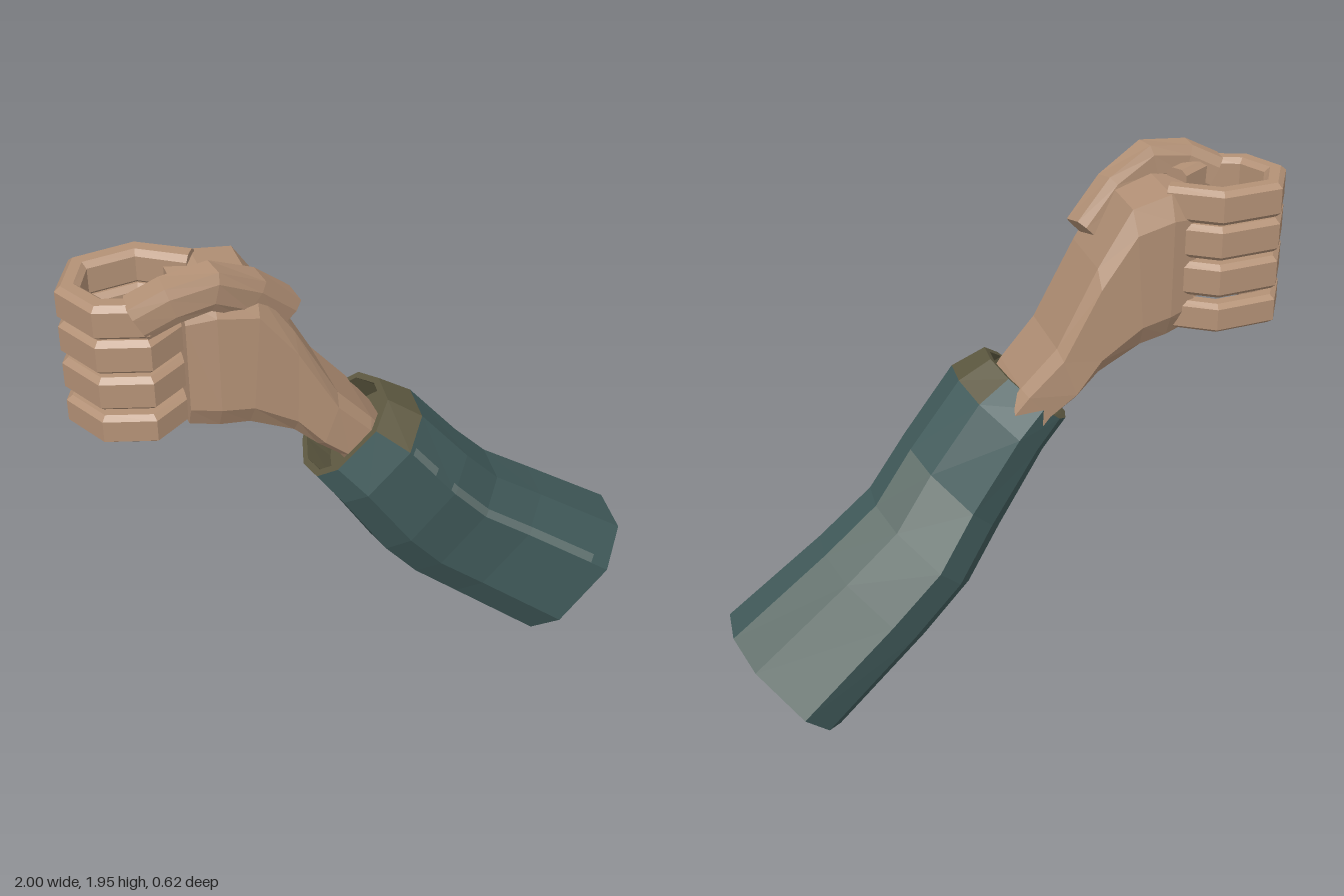
import * as THREE from 'three';

const mat = (name, color, side = THREE.FrontSide) => {
  const m = new THREE.MeshStandardMaterial({ color, flatShading: true, side });
  m.name = name;
  return m;
};
const V = (x, y, z) => new THREE.Vector3(x, y, z);

// Ten-sided sleeve outline and chamfered box outline, in (side, up) units
const SLEEVE = [[0.6, 0.93], [-0.04, 1], [-0.6, 0.75], [-1, 0], [-0.8, -0.48],
  [-0.37, -0.8], [0.15, -1], [0.7, -0.9], [1, -0.5], [1, 0.45]];
const chamfer = (a, b) => [[a, 1], [-a, 1], [-1, b], [-1, -b], [-a, -1], [a, -1], [1, -b], [1, b]];

// A section is [upperX, upperY, lowerX, lowerY, zMin, zMax]
const point = (s, [p, q]) => {
  const t = (q + 1) / 2;
  return V(s[2] + (s[0] - s[2]) * t, s[3] + (s[1] - s[3]) * t,
    (s[4] + s[5]) / 2 + p * (s[5] - s[4]) / 2);
};
const ring = (s, outline) => outline.map((o) => point(s, o));

// Skin a row of rings; pick(i, j) chooses the material of each panel
function loft(rings, { capStart = false, capEnd = false, pick = () => 0 } = {}) {
  const byMat = [];
  const add = (m, ...pts) => {
    byMat[m] = byMat[m] || [];
    pts.forEach((p) => byMat[m].push(p));
  };
  const n = rings[0].length;
  for (let i = 0; i < rings.length - 1; i++) {
    for (let j = 0; j < n; j++) {
      const k = (j + 1) % n, a = rings[i], b = rings[i + 1];
      add(pick(i, j), a[j], a[k], b[k], a[j], b[k], b[j]);
    }
  }
  const cap = (r, flip) => {
    const c = r.reduce((s, p) => s.add(p), V(0, 0, 0)).divideScalar(n);
    r.forEach((p, j) => {
      const q = r[(j + 1) % n];
      if (flip) add(0, c, q, p); else add(0, c, p, q);
    });
  };
  if (capStart) cap(rings[0], true);
  if (capEnd) cap(rings[rings.length - 1], false);
  const g = new THREE.BufferGeometry().setFromPoints(byMat.flat());
  let start = 0;
  byMat.forEach((pts, m) => {
    g.addGroup(start, pts.length, m);
    start += pts.length;
  });
  g.computeVertexNormals();
  return g;
}

// Chamfered bar along a path; "wide" is the direction of the first half size
function digit(path, wide, halfA, halfB) {
  const outline = chamfer(0.72, 0.5);
  const rings = path.map((p, i) => {
    const t = path[Math.min(i + 1, path.length - 1)].clone()
      .sub(path[Math.max(i - 1, 0)]).normalize();
    const e1 = wide.clone().addScaledVector(t, -wide.dot(t)).normalize();
    const e2 = t.clone().cross(e1);
    return outline.map(([a, b]) => p.clone().addScaledVector(e1, a * halfA).addScaledVector(e2, b * halfB));
  });
  return loft(rings, { capStart: true, capEnd: true });
}

export function createModel() {
  const model = new THREE.Group();
  const skin = mat('skin', 0xb39176);
  const teal = mat('teal cloth', 0x425c5c);
  const grey = mat('worn grey cloth', 0x5c6b66);
  const olive = mat('olive lining', 0x5e5941);
  const seam = mat('pale seam', 0x647674, THREE.DoubleSide);
  const add = (name, geometry, material, parent = model) => {
    const m = new THREE.Mesh(geometry, material);
    m.name = name;
    parent.add(m);
    return m;
  };

  // Sleeve, from the elbow end up to the cuff
  const sections = [
    [1.0, 0.41, 0.62, 0.0, -0.31, 0.23],
    [0.66, 0.67, 0.3, 0.3, -0.25, 0.23],
    [0.47, 0.82, 0.13, 0.47, -0.21, 0.25],
    [0.33, 0.99, 0.0, 0.65, -0.14, 0.29],
    [0.15, 1.22, -0.16, 0.92, -0.12, 0.31],
    [0.04, 1.29, -0.24, 1.03, -0.09, 0.26],
  ];
  const pick = (i, j) => {
    if (i === 4) return j === 9 || j < 2 ? 2 : 0;
    return i < 3 && (j === 1 || j === 2) ? 1 : 0;
  };
  add('sleeve', loft(sections.map((s) => ring(s, SLEEVE)), { pick }), [teal, grey, olive]);

  // Lining inside the open cuff
  const inner = SLEEVE.map(([p, q]) => [p * 0.88, q * 0.88]);
  add('cuffLining', loft([ring(sections[5], SLEEVE), ring(sections[5], inner), ring(sections[4], inner)],
    { capEnd: true }), olive);

  // Closed elbow end in three patches
  const end = (name, pts, material) => {
    const g = new THREE.ShapeGeometry(new THREE.Shape(pts.map(([p, q]) => new THREE.Vector2(p, q))));
    const pos = g.attributes.position;
    for (let i = 0; i < pos.count; i++) {
      const v = point(sections[0], [pos.getX(i), pos.getY(i)]);
      pos.setXYZ(i, v.x, v.y, v.z);
    }
    g.setIndex(Array.from(g.index.array).reverse());
    g.computeVertexNormals();
    add(name, g, material);
  };
  const S = SLEEVE, a = [-0.1, 0.65], b = [0.15, 0.45], c = [0.3, 0.1], d = [-0.84, 0.3];
  end('elbowEndTop', [S[0], S[1], a, b, S[9]], teal);
  end('elbowEndBand', [S[1], S[2], d, c, S[9], b, a], grey);
  end('elbowEndBottom', [S[9], c, d, ...S.slice(3, 9)], teal);

  // Pale seams running down the front of the sleeve
  const along = (f) => {
    const i = Math.min(Math.floor(f), 4), k = f - i;
    return sections[i].map((v, n) => v + (sections[i + 1][n] - v) * k);
  };
  const strip = (name, stops) => {
    const pts = [];
    const edge = (f) => [[1.015, 0.46], [0.945, 0.56]].map((o) => point(along(f), o));
    for (let i = 0; i < stops.length - 1; i++) {
      const [p, q] = edge(stops[i]), [r, s] = edge(stops[i + 1]);
      pts.push(p, q, s, p, s, r);
    }
    const g = new THREE.BufferGeometry().setFromPoints(pts);
    g.computeVertexNormals();
    add(name, g, seam);
  };
  strip('longSeam', [0.22, 1, 2, 3, 3.1]);
  strip('shortSeam', [3.45, 3.95]);

  // Palm and wrist
  const hand = new THREE.Group();
  hand.name = 'hand';
  model.add(hand);
  const palm = [
    [0.05, 1.12, -0.07, 1.0, -0.07, 0.22],
    [-0.03, 1.23, -0.14, 1.11, -0.09, 0.24],
    [-0.15, 1.37, -0.22, 1.18, -0.11, 0.25],
    [-0.29, 1.64, -0.3, 1.26, -0.1, 0.25],
    [-0.41, 1.83, -0.45, 1.34, -0.09, 0.26],
    [-0.55, 1.86, -0.55, 1.355, -0.07, 0.26],
    [-0.645, 1.84, -0.645, 1.375, -0.03, 0.24],
  ];
  add('palm', loft(palm.map((s) => ring(s, chamfer(0.75, 0.68))), { capStart: true, capEnd: true }), skin, hand);

  // Four fingers curled into a ring
  const curl = [[-0.56, 0.02], [-0.71, -0.077], [-0.895, -0.055], [-0.957, 0.07],
    [-0.895, 0.193], [-0.77, 0.235], [-0.63, 0.14]];
  [1.82, 1.695, 1.56, 1.425].forEach((y, i) => {
    const path = curl.map(([x, z]) => V(x, y, z));
    add('finger' + (i + 1), digit(path, V(0, 1, 0), i === 3 ? 0.052 : 0.06, 0.04), skin, hand);
  });

  // Thumb folded over the first finger
  const thumb = [V(-0.31, 1.69, 0.14), V(-0.43, 1.81, 0.19), V(-0.56, 1.885, 0.23),
    V(-0.69, 1.87, 0.24), V(-0.79, 1.82, 0.225)];
  add('thumb', digit(thumb, V(0, 0, 1), 0.052, 0.066), skin, hand);

  return model;
}
